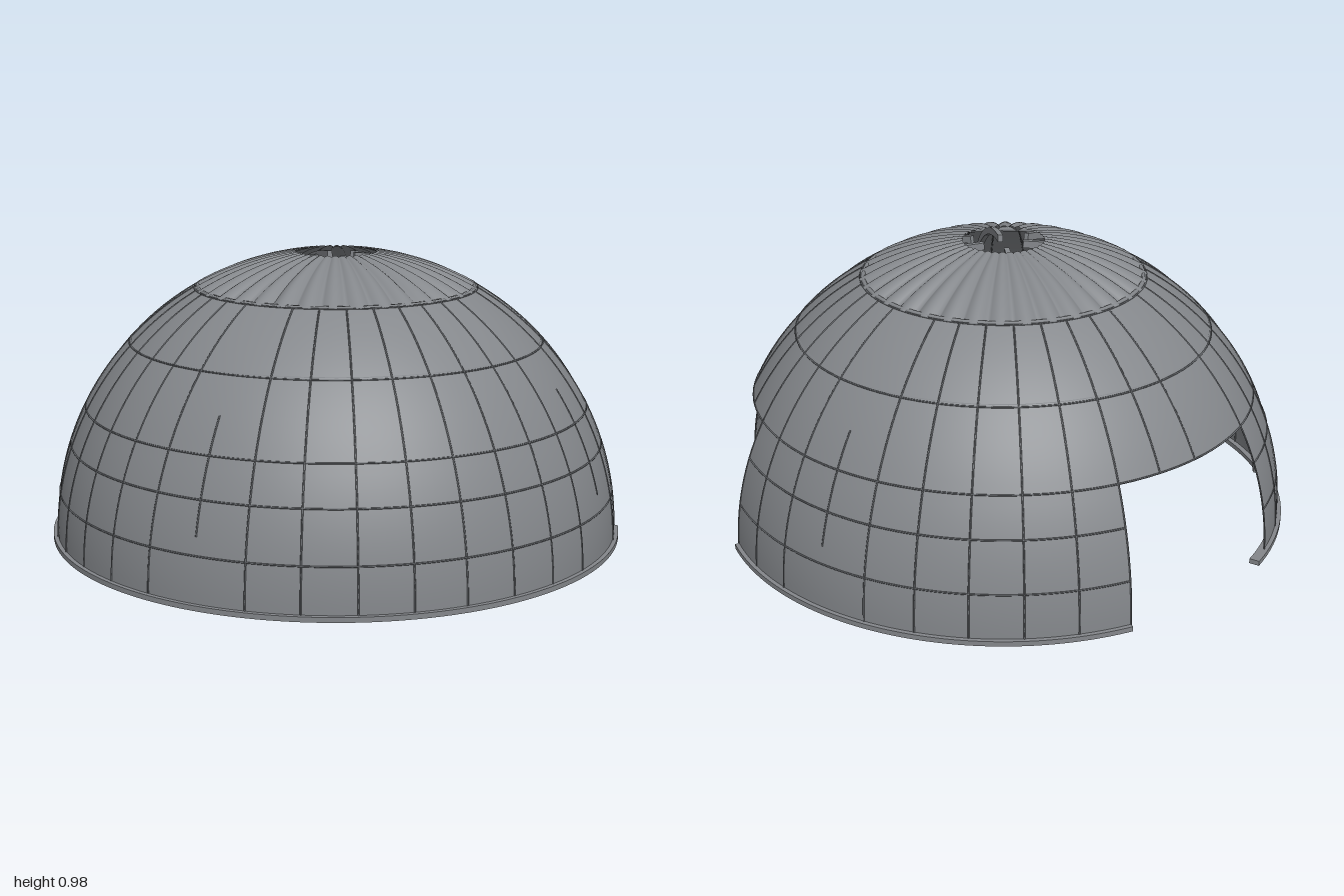
import * as THREE from 'three';

const R = 0.986;                      // dome radius
const DEG = Math.PI / 180;
const DOOR_TOP = 0.455;               // height of the two openings
const CAP_Y = 0.855;                  // where the fluted cap begins
const WALLS = [[60, 150], [190, 380]]; // azimuths from +x towards -z
const RINGS = [0.165, 0.33, DOOR_TOP, 0.675, CAP_Y];

const elevation = (y) => Math.asin(y / R);
const isOpen = (deg) => !WALLS.some(([a, b]) => [deg, deg + 360].some((d) => d >= a && d <= b));

// points of the dome profile between two elevations
function profile(e0, e1, n, radius = R) {
  const pts = [];
  for (let i = 0; i <= n; i++) {
    const e = e0 + ((e1 - e0) * i) / n;
    pts.push(new THREE.Vector2(radius * Math.cos(e), radius * Math.sin(e)));
  }
  return pts;
}

// flat arc band with a square section
function arcBand(rIn, rOut, a0, a1, depth) {
  const s = new THREE.Shape();
  s.absarc(0, 0, rOut, a0, a1, false);
  s.absarc(0, 0, rIn, a1, a0, true);
  return new THREE.ExtrudeGeometry(s, { depth, bevelEnabled: false, curveSegments: 64 });
}

export function createModel() {
  const group = new THREE.Group();
  const shell = new THREE.MeshStandardMaterial({ color: 0x84878b, side: THREE.DoubleSide });
  shell.name = 'dome grey';
  const dark = new THREE.MeshStandardMaterial({ color: 0x66696d });
  dark.name = 'seam grey';

  const add = (name, geometry, material) => {
    const m = new THREE.Mesh(geometry, material);
    m.name = name;
    group.add(m);
    return m;
  };

  // horizontal ring or arc
  const ring = (name, y, radius, tube, a0, a1, mat) => {
    const g = new THREE.TorusGeometry(radius, tube, 6, 96, (a1 - a0) * DEG);
    g.rotateX(-Math.PI / 2);
    g.rotateY(a0 * DEG);
    g.translate(0, y, 0);
    add(name, g, mat);
  };

  // lower walls and their base flange
  for (const [a0, a1] of WALLS) {
    const len = (a1 - a0) * DEG;
    add('lowerWall', new THREE.LatheGeometry(profile(elevation(0.005), elevation(DOOR_TOP), 12),
      Math.round((a1 - a0) / 2.5), (a0 + 90) * DEG, len), shell);
    const start = a0 === 190 ? 185 : a0;
    const flange = arcBand(0.965, 1, start * DEG, a1 * DEG, 0.017);
    flange.rotateX(-Math.PI / 2);
    add('baseFlange', flange, shell);
    for (const y of RINGS.slice(0, 2)) ring('panelSeam', y, Math.sqrt(R * R - y * y), 0.003, a0, a1, dark);
  }

  // upper dome
  add('upperDome', new THREE.LatheGeometry(profile(elevation(DOOR_TOP), elevation(CAP_Y), 16), 144), shell);
  for (const y of RINGS.slice(2)) {
    const r = Math.sqrt(R * R - y * y);
    ring('panelSeam', y, r, 0.003, 0, 360, dark);
    ring('innerHoop', y, r - 0.011, 0.009, 0, 360, shell);
  }

  // fluted cap with an open crown
  const lobes = 36;
  const cap = new THREE.LatheGeometry(profile(elevation(CAP_Y), Math.acos(0.14 / R), 12), lobes * 8);
  const p = cap.attributes.position;
  const v = new THREE.Vector3();
  for (let i = 0; i < p.count; i++) {
    v.fromBufferAttribute(p, i);
    const r = Math.hypot(v.x, v.z);
    const bulge = Math.abs(Math.sin((Math.atan2(v.x, v.z) * lobes) / 2));
    v.multiplyScalar(1 + 0.04 * r * (bulge - 0.8));
    p.setXYZ(i, v.x, v.y, v.z);
  }
  cap.computeVertexNormals();
  add('flutedCap', cap, shell);

  // vertical panel seams every ten degrees
  for (let a = 0; a < 360; a += 10) {
    if (a % 90 === 0) continue;
    const e0 = elevation(isOpen(a) ? DOOR_TOP : 0.015);
    const g = new THREE.TorusGeometry(R, 0.003, 5, 32, elevation(CAP_Y) - e0);
    g.rotateZ(e0);
    g.rotateY(a * DEG);
    add('panelSeam', g, dark);
  }

  // inner ribs
  for (let a = 0; a < 360; a += 45) {
    const e0 = elevation(isOpen(a) ? DOOR_TOP : 0.015);
    const e1 = a % 90 ? 86 * DEG : 82 * DEG;
    const g = arcBand(0.945, 0.97, e0, e1, 0.018);
    g.translate(0, 0, -0.009);
    g.rotateY(a * DEG);
    add('innerRib', g, shell);
  }

  // short middle seams on the four main axes
  for (const a of [0, 90, 270]) {
    const g = new THREE.TorusGeometry(R, 0.003, 5, 16, 22 * DEG);
    g.rotateZ(13 * DEG);
    g.rotateY(a * DEG);
    add('axisSeam', g, dark);
  }
  return group;
}
